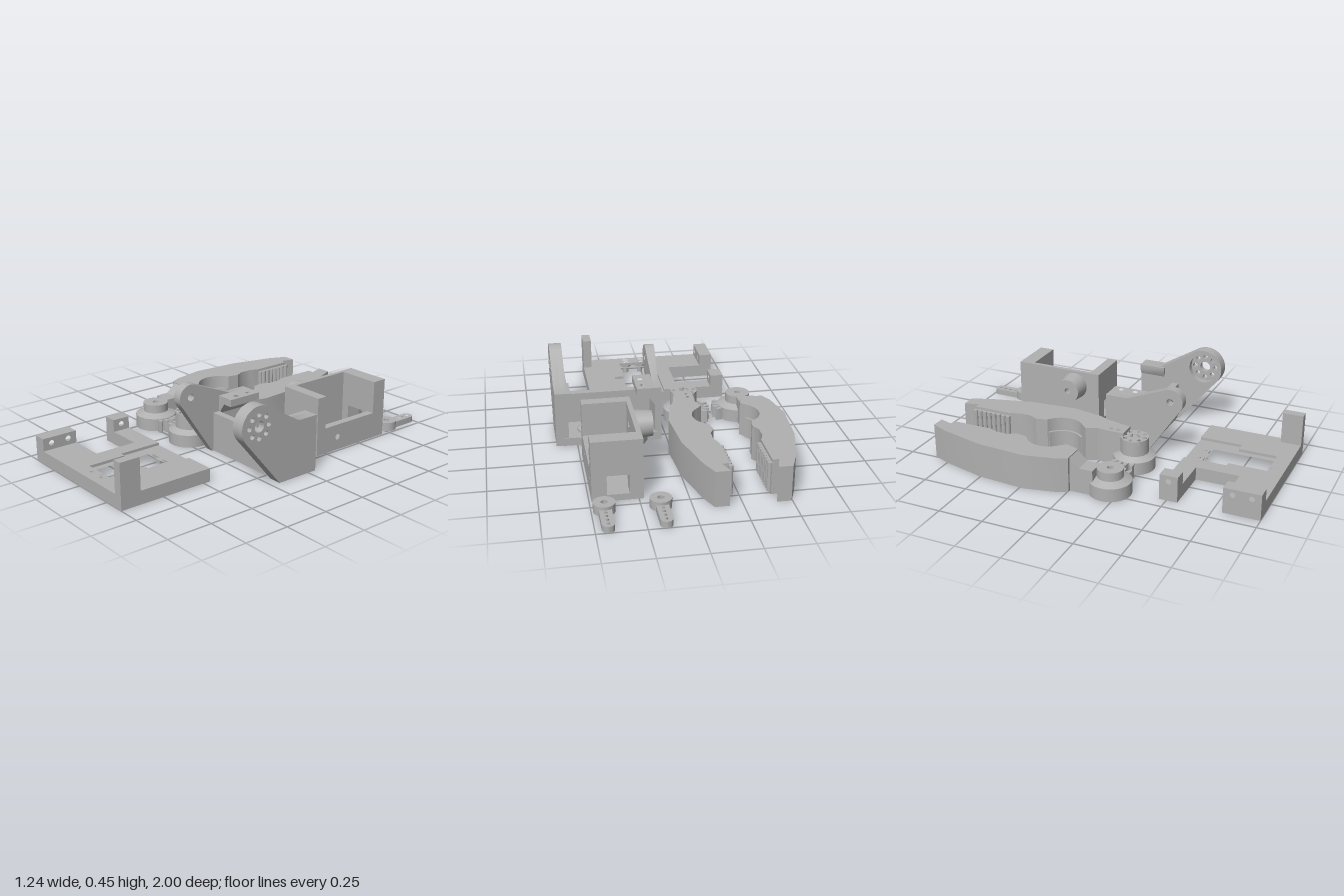
import * as THREE from 'three';
import { toCreasedNormals } from 'three/addons/utils/BufferGeometryUtils.js';

const plastic = new THREE.MeshStandardMaterial({ color: 0xb0b0b0 });
plastic.name = 'grey plastic';

const arc = (cx, cy, r, a0, a1, n = 20) => Array.from({ length: n + 1 }, (_, i) => {
  const a = THREE.MathUtils.degToRad(a0 + (a1 - a0) * i / n);
  return [cx + r * Math.cos(a), cy + r * Math.sin(a)];
});
const rect = (x0, x1, z0, z1) => [[x0, z0], [x1, z0], [x1, z1], [x0, z1]];
const circle = (cx, cy, r, n = 24) => arc(cx, cy, r, 0, 360 - 360 / n, n - 1);
const ringOfHoles = (cx, cy, R, r) => Array.from({ length: 8 }, (_, i) =>
  circle(cx + R * Math.cos(i * Math.PI / 4), cy + R * Math.sin(i * Math.PI / 4), r, 12));

function addMesh(group, name, geometry) {
  const m = new THREE.Mesh(toCreasedNormals(geometry, 0.55), plastic);
  m.name = name;
  group.add(m);
  return m;
}
function extrude(points, holes, depth, sx, sy) {
  const v = p => p.map(([a, b]) => new THREE.Vector2(a * sx, b * sy));
  const shape = new THREE.Shape(v(points));
  shape.holes = holes.map(h => new THREE.Path(v(h)));
  return new THREE.ExtrudeGeometry(shape, { depth, bevelEnabled: false });
}
// Horizontal plate: outline in (x, z), from y0 up to y1
const slab = (g, name, pts, y0, y1, holes = []) =>
  addMesh(g, name, extrude(pts, holes, y1 - y0, 1, -1).rotateX(-Math.PI / 2).translate(0, y0, 0));
// Upright plate across x: outline in (z, y), from x0 to x1
const sidePlate = (g, name, pts, x0, x1, holes = []) =>
  addMesh(g, name, extrude(pts, holes, x1 - x0, -1, 1).rotateY(Math.PI / 2).translate(x0, 0, 0));
// Upright plate across z: outline in (x, y), from z0 to z1
const endPlate = (g, name, pts, z0, z1, holes = []) =>
  addMesh(g, name, extrude(pts, holes, z1 - z0, 1, 1).translate(0, 0, z0));
const lathe = (g, name, profile, x, z) =>
  addMesh(g, name, new THREE.LatheGeometry(profile.map(p => new THREE.Vector2(...p)), 40).translate(x, 0, z));
function part(root, name) {
  const g = new THREE.Group();
  g.name = name;
  root.add(g);
  return g;
}

function buildBase(root) {
  const g = part(root, 'basePlate');
  const slot = [[-0.43, 1], [-0.43, 0.8], [-0.155, 0.8], [-0.155, 0.56], [-0.43, 0.56], [-0.43, 0.46]];
  const outline = [[0.375, 0.46], [0.375, 1], ...slot];
  const opening = rect(-0.04, 0.145, 0.555, 0.915);
  const bolts = [[0.01, 0.52], [0.1, 0.52], [0.01, 0.95], [0.1, 0.95]];
  const round = bolts.map(([x, z]) => circle(x, z, 0.017));
  const hex = bolts.map(([x, z]) => circle(x, z, 0.032, 6));
  const cable = circle(0.305, 0.64, 0.017);
  slab(g, 'lowerPlate', outline, 0, 0.04, [opening, cable, ...round]);
  slab(g, 'nutPocketPlate', outline, 0.04, 0.058, [opening, cable, ...hex]);
  // Top layer leaves a shallow recess around the opening
  slab(g, 'topPlate', [[0.2, 0.46], ...outline, [-0.07, 0.46], [-0.07, 0.7], [-0.04, 0.7], [-0.04, 0.915],
    [0.145, 0.915], [0.145, 0.7], [0.2, 0.7]], 0.058, 0.073, [cable, ...hex.slice(2)]);
  sidePlate(g, 'frontMountBlock', rect(0.8, 1, 0.07, 0.142), -0.43, -0.355,
    [circle(0.85, 0.11, 0.015), circle(0.95, 0.11, 0.015)]);
  sidePlate(g, 'rearMountBlock', rect(0.46, 0.56, 0.07, 0.142), -0.43, -0.355, [circle(0.51, 0.11, 0.015)]);
  slab(g, 'cornerPost', rect(0.325, 0.375, 0.885, 1), 0.07, 0.25);
}

function buildBracket(root) {
  const g = part(root, 'pivotBracket');
  slab(g, 'floor', [[0.04, -0.055], [0.11, -0.055], [0.17, -0.16], [0.43, -0.16], [0.49, -0.055], [0.58, -0.055],
    [0.58, 0.17], [0.04, 0.17]], 0, 0.045, [circle(0.17, 0.04, 0.022), circle(0.435, 0.04, 0.022)]);
  for (const x of [0.17, 0.435])
    lathe(g, 'screwBoss', [[0.022, 0.04], [0.055, 0.04], [0.055, 0.06], [0.036, 0.085], [0.022, 0.085], [0.022, 0.04]], x, 0.04);
  endPlate(g, 'crossWall', rect(0.05, 0.56, 0, 0.22), 0.15, 0.19);
  const arm = r => [[-0.05, 0], [-0.05, 0.31], [0.075, 0.31], ...arc(0.34, 0.34, r, 123, -43, 28), [0.2, 0]];
  // Narrow arm leans slightly outwards towards its tip
  const lean = sidePlate(g, 'idlerArm', arm(0.073), 0.03, 0.065, [circle(0.34, 0.34, 0.02)]);
  const p = lean.geometry.attributes.position;
  for (let i = 0; i < p.count; i++)
    if (p.getX(i) < 0.05) p.setX(i, 0.03 - 0.018 * THREE.MathUtils.clamp((p.getZ(i) - 0.07) / 0.2, 0, 1));
  const dots = ringOfHoles(0.34, 0.34, 0.063, 0.014);
  sidePlate(g, 'hornArmOuter', arm(0.11), 0.58, 0.615, [circle(0.34, 0.34, 0.03), ...dots]);
  sidePlate(g, 'hornArmInner', arm(0.11), 0.545, 0.58, [circle(0.34, 0.34, 0.085, 32)]);
  // Mounting flanges along the tops of the arms
  slab(g, 'flange', rect(0.06, 0.165, -0.05, 0.15), 0.27, 0.31, [circle(0.13, 0, 0.014), circle(0.13, 0.085, 0.014)]);
  endPlate(g, 'flangeGusset', [[0.06, 0.2], [0.11, 0.272], [0.06, 0.272]], -0.05, 0.15);
  endPlate(g, 'hornFlange', [[0.55, 0.24], [0.55, 0.31], [0.528, 0.31], [0.528, 0.28]], -0.05, 0.1);
}

function buildHolder(root) {
  const g = part(root, 'servoHolder');
  slab(g, 'floor', rect(0.23, 0.48, -0.69, -0.19), 0, 0.03);
  const screws = [-0.21, -0.64];
  sidePlate(g, 'shaftWall', rect(-0.7, -0.185, 0, 0.33), 0.225, 0.25, [circle(-0.34, 0.24, 0.018)]);
  const lower = [circle(-0.34, 0.075, 0.016), circle(-0.59, 0.075, 0.016)];
  sidePlate(g, 'lowWall', rect(-0.7, -0.185, 0, 0.147), 0.445, 0.487, lower);
  for (const [z0, z1, s] of [[-0.245, -0.185, screws[0]], [-0.7, -0.615, screws[1]]]) {
    // End wall with a cable window and bored corner post
    endPlate(g, 'endWall', rect(0.25, 0.445, 0, 0.33), z0, z1, [rect(0.295, 0.41, 0.035, 0.14)]);
    sidePlate(g, 'endPost', rect(z0, z1, 0.147, 0.33), 0.445, 0.487, [circle(s, 0.28, 0.014), circle(s, 0.19, 0.014)]);
  }
  // Hollow pivot boss on the shaft wall
  const boss = new THREE.LatheGeometry([[0.018, 0], [0.078, 0], [0.068, 0.097], [0.018, 0.097], [0.018, 0]]
    .map(q => new THREE.Vector2(...q)), 32);
  addMesh(g, 'pivotBoss', boss.rotateZ(Math.PI / 2).translate(0.226, 0.24, -0.34));
}

function buildHorn(root, x) {
  const g = part(root, 'servoHorn');
  const z = -0.79;
  lathe(g, 'hub', [[0.017, 0], [0.056, 0], [0.056, 0.05], [0.017, 0.05], [0.017, 0]], x, z);
  slab(g, 'hornArm', [[x + 0.032, z - 0.045], [x - 0.032, z - 0.045], ...arc(x, -0.968, 0.032, 180, 360, 14)], 0, 0.034,
    [0, 1, 2, 3].map(i => circle(x, -0.968 + i * 0.034, 0.01, 12)));
}

// Finger drawn for the -x side; side = -1 mirrors it about x = -0.3
function buildClaw(root, side) {
  const g = part(root, side > 0 ? 'idlerClaw' : 'drivenClaw');
  const X = x => side > 0 ? x : -0.6 - x;
  const M = pts => pts.map(([x, z]) => [X(x), z]);
  slab(g, 'finger', M([[-0.495, -0.845], [-0.42, -0.845], [-0.445, -0.765], [-0.41, -0.765], [-0.41, -0.54], [-0.43, -0.49],
    [-0.43, -0.42], [-0.405, -0.375], ...arc(-0.36, -0.2, 0.125, 242, 128, 18), [-0.41, -0.07], [-0.44, 0.005],
    [-0.555, 0.005], [-0.585, -0.06], [-0.62, -0.23], [-0.6, -0.5], [-0.535, -0.75]]), 0, 0.195);
  // Raised gripping pad, ridges and curved lining
  slab(g, 'gripPad', M(rect(-0.415, -0.402, -0.77, -0.54)), 0.02, 0.18);
  for (let i = 0; i < 8; i++)
    addMesh(g, 'gripRidge', new THREE.CylinderGeometry(0.013, 0.013, 0.16, 10).translate(X(-0.4), 0.1, -0.76 + i * 0.03));
  slab(g, 'curvedLining', M([...arc(-0.36, -0.2, 0.127, 240, 130, 18), ...arc(-0.36, -0.2, 0.112, 130, 240, 18)]), 0, 0.12);

  const cx = X(-0.46), cz = 0.2;
  if (side > 0) {
    sidePlate(g, 'slopedNeck', [[-0.03, 0], [-0.03, 0.194], [0, 0.194], [0.06, 0.14], [0.135, 0.14], [0.135, 0]], -0.54, -0.44);
    lathe(g, 'gearHub', [[0.017, 0], [0.115, 0], [0.115, 0.073], [0.07, 0.092], [0.07, 0.14], [0.017, 0.14], [0.017, 0]], cx, cz);
  } else {
    slab(g, 'neck', [[-0.165, -0.01], [-0.04, -0.01], [-0.075, 0.145], [-0.17, 0.145], [-0.17, 0.03]], 0, 0.195,
      [circle(-0.137, 0.06, 0.012, 12), circle(-0.137, 0.1, 0.012, 12)]);
    lathe(g, 'gearHub', [[0.03, 0], [0.115, 0], [0.115, 0.07], [0.077, 0.09], [0.077, 0.15], [0.03, 0.15], [0.03, 0]], cx, cz);
    slab(g, 'hornSeat', circle(cx, cz, 0.077, 36), 0.15, 0.177, [circle(cx, cz, 0.03), ...ringOfHoles(cx, cz, 0.058, 0.012)]);
  }
  // Gear teeth towards the other claw
  for (const deg of side > 0 ? [-24, -8, 8, 24] : [-32, -16, 0, 16]) {
    const a = THREE.MathUtils.degToRad(deg), c = Math.cos(a), s = Math.sin(a);
    const tooth = [[0.105, -0.013], [0.135, -0.011], [0.15, -0.005], [0.15, 0.005], [0.135, 0.011], [0.105, 0.013]];
    slab(g, 'gearTooth', tooth.map(([u, v]) => [cx + side * (u * c - v * s), cz + u * s + v * c]), 0, 0.07);
  }
}

export function createModel() {
  const root = new THREE.Group();
  root.name = 'gripperKit';
  buildBase(root);
  buildBracket(root);
  buildHolder(root);
  for (const x of [0.155, 0.435]) buildHorn(root, x);
  for (const side of [1, -1]) buildClaw(root, side);
  return root;
}
